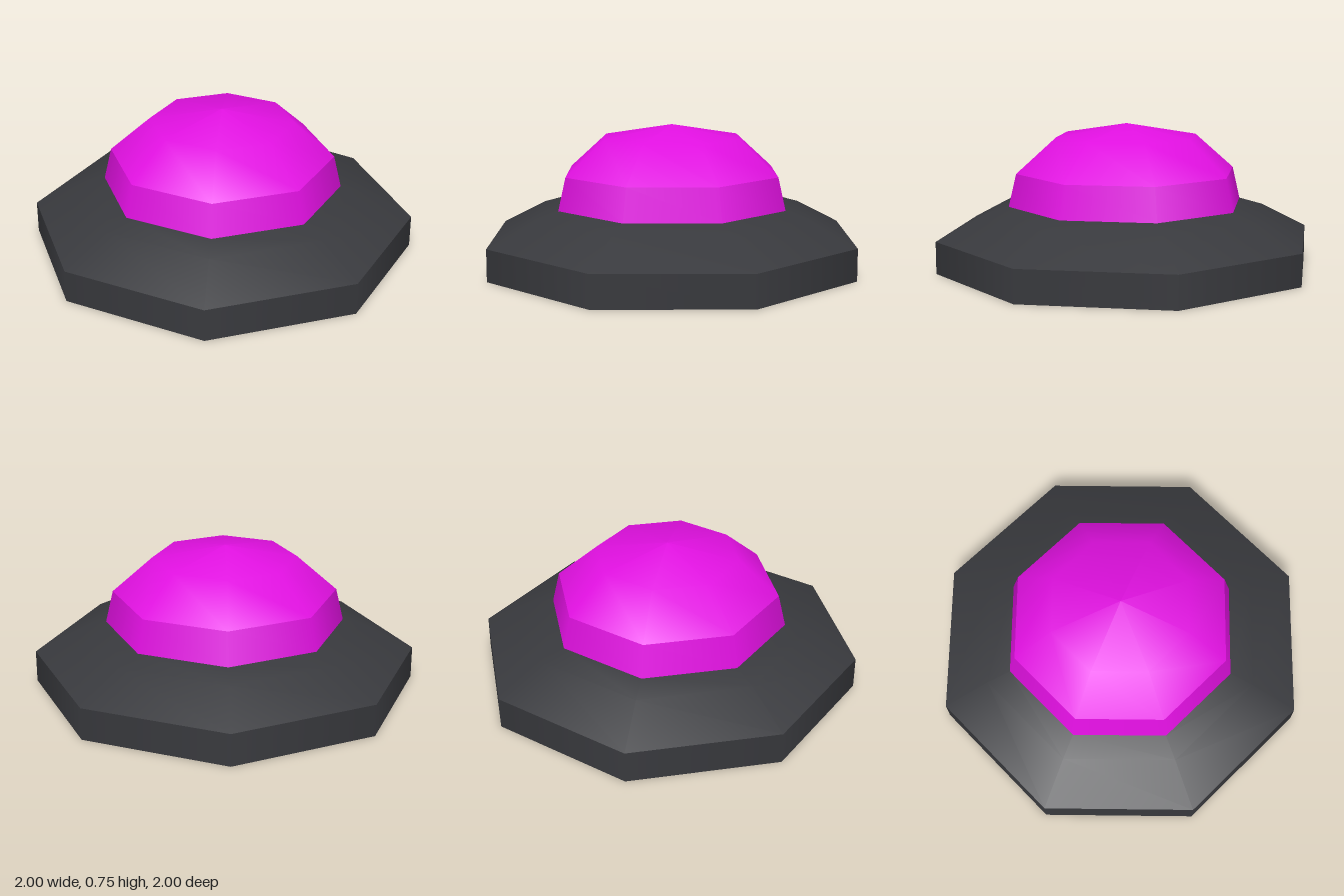
import * as THREE from 'three';

const SIDES = 8;

export function createModel() {
  const model = new THREE.Group();
  model.name = 'domedButton';

  const charcoal = new THREE.MeshStandardMaterial({ color: 0x38393d, side: THREE.DoubleSide });
  charcoal.name = 'charcoal';
  const magenta = new THREE.MeshStandardMaterial({ color: 0xe010e0, side: THREE.DoubleSide });
  magenta.name = 'magenta';

  // Open eight-sided shell turned from a profile of [radius, height] points.
  // Separate shells keep the edges between them sharp.
  function addShell(name, material, profile) {
    const points = profile.map(([r, y]) => new THREE.Vector2(r, y));
    const mesh = new THREE.Mesh(new THREE.LatheGeometry(points, SIDES), material);
    mesh.name = name;
    model.add(mesh);
  }

  // Hollow base: upright rim and sloping skirt
  addShell('baseRim', charcoal, [[1, 0], [1, 0.167]]);
  addShell('baseSlope', charcoal, [[1, 0.167], [0.75, 0.295], [0.623, 0.333]]);

  // Hollow dome: collar and faceted cap
  addShell('domeCollar', magenta, [[0.623, 0.333], [0.583, 0.502]]);
  addShell('domeCap', magenta, [[0.583, 0.502], [0.374, 0.685], [0, 0.75]]);

  return model;
}
